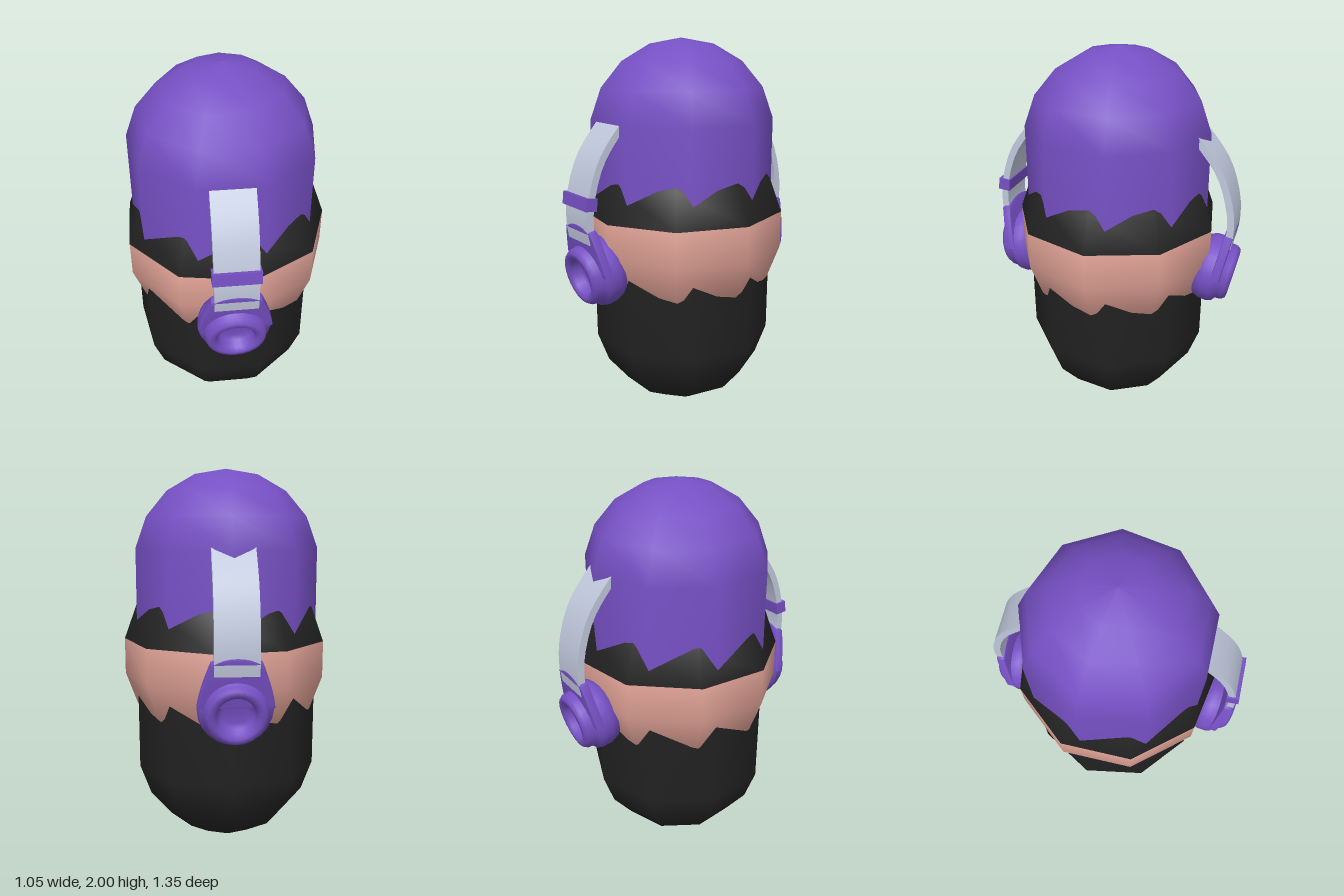
import * as THREE from 'three';
import { toCreasedNormals } from 'three/addons/utils/BufferGeometryUtils.js';

const mat = (color) => new THREE.MeshStandardMaterial({ color });
const purple = mat(0x7650c4), black = mat(0x232222), skin = mat(0xdfa195), metal = mat(0xc0c8dc);

function add(parent, name, geometry, material) {
  const mesh = new THREE.Mesh(geometry, material);
  mesh.name = name;
  parent.add(mesh);
  return mesh;
}

// Nine-sided half capsule from y = 1 to its pole; dir is +1 for up, -1 for down
function halfCapsule(dir) {
  const R = 0.493, pts = [new THREE.Vector2(0.487, 1)];
  for (let deg = 10; deg <= 90; deg += 20) {
    const a = THREE.MathUtils.degToRad(deg);
    pts.push(new THREE.Vector2(Math.max(0, R * Math.cos(a)), 1 + dir * (0.507 + R * Math.sin(a))));
  }
  if (dir < 0) pts.reverse();
  return new THREE.LatheGeometry(pts, 9, Math.PI);
}

// Curved strap in the z-y plane with the given thickness, as wide as `width` in x
function strap(path, thickness, width) {
  const curve = new THREE.CatmullRomCurve3(path.map(([z, y]) => new THREE.Vector3(z, y, 0)));
  const outer = [], inner = [], n = 16;
  for (let i = 0; i <= n; i++) {
    const p = curve.getPoint(i / n), t = curve.getTangent(i / n);
    const h = thickness / 2;
    outer.push(new THREE.Vector2(p.x - t.y * h, p.y + t.x * h));
    inner.push(new THREE.Vector2(p.x + t.y * h, p.y - t.x * h));
  }
  const g = new THREE.ExtrudeGeometry(new THREE.Shape([...outer, ...inner.reverse()]), { depth: width, bevelEnabled: false });
  g.translate(0, 0, -width / 2).rotateY(-Math.PI / 2);
  return toCreasedNormals(g, 0.6);
}

// Round cushioned cup with a dished outer face, axis along z
function cupGeometry() {
  const profile = [[0, -0.1], [0.12, -0.1], [0.165, -0.085], [0.183, -0.04], [0.185, 0.01], [0.176, 0.035],
    [0.155, 0.05], [0.152, 0.08], [0.138, 0.1], [0.115, 0.103], [0.095, 0.085], [0.085, 0.045], [0.06, 0.03], [0, 0.03]];
  return new THREE.LatheGeometry(profile.map(([r, t]) => new THREE.Vector2(r, t)), 24).rotateX(Math.PI / 2);
}

// Tapered plate joining the cup to the strap
function yokeGeometry() {
  const s = new THREE.Shape();
  s.moveTo(-0.178, 0.03);
  s.quadraticCurveTo(-0.165, 0.12, -0.115, 0.245);
  s.quadraticCurveTo(0, 0.295, 0.115, 0.245);
  s.quadraticCurveTo(0.165, 0.12, 0.178, 0.03);
  s.closePath();
  const g = new THREE.ExtrudeGeometry(s, { depth: 0.03, bevelEnabled: true, bevelSize: 0.008, bevelThickness: 0.008, bevelSegments: 2, curveSegments: 8 });
  return toCreasedNormals(g.translate(0, 0, 0.01), 0.7);
}

export function createModel() {
  const model = new THREE.Group();
  model.name = 'headWithHeadset';

  // Cap and beard form a capsule; the wider head pushes through its middle
  add(model, 'cap', halfCapsule(1), purple).position.x = -0.018;
  add(model, 'beard', halfCapsule(-1), black).position.x = -0.018;
  const split = Math.PI * 4 / 9;
  const hair = new THREE.SphereGeometry(0.55, 9, 4, Math.PI, Math.PI * 2, 0, split);
  const face = new THREE.SphereGeometry(0.55, 9, 5, Math.PI, Math.PI * 2, split, Math.PI - split);
  add(model, 'hair', hair, black).position.set(-0.01, 1.01, 0);
  add(model, 'face', face, skin).position.set(-0.01, 1.01, 0);

  // Headset: the same cup and strap at front and back
  const cup = cupGeometry(), yoke = yokeGeometry();
  const band = strap([[0.62, 1.02], [0.63, 1.1], [0.622, 1.23], [0.56, 1.42], [0.445, 1.575], [0.4, 1.62]], 0.036, 0.215);
  for (const side of ['front', 'back']) {
    const half = new THREE.Group();
    half.name = side + 'Headset';
    half.position.x = -0.018;
    half.rotation.y = side === 'back' ? Math.PI : 0;
    add(half, 'strap', band, metal);
    const ear = new THREE.Group();
    ear.name = 'earpiece';
    ear.position.set(0, 0.843, 0.55);
    ear.rotation.x = 0.2;
    add(ear, 'earCup', cup, purple);
    add(ear, 'yoke', yoke, purple);
    half.add(ear);
    // Clip around the front strap only
    if (side === 'front') {
      const clip = add(half, 'strapClip', new THREE.BoxGeometry(0.235, 0.064, 0.062), purple);
      clip.position.set(0, 1.222, 0.626);
      clip.rotation.x = -0.12;
    }
    model.add(half);
  }
  return model;
}
